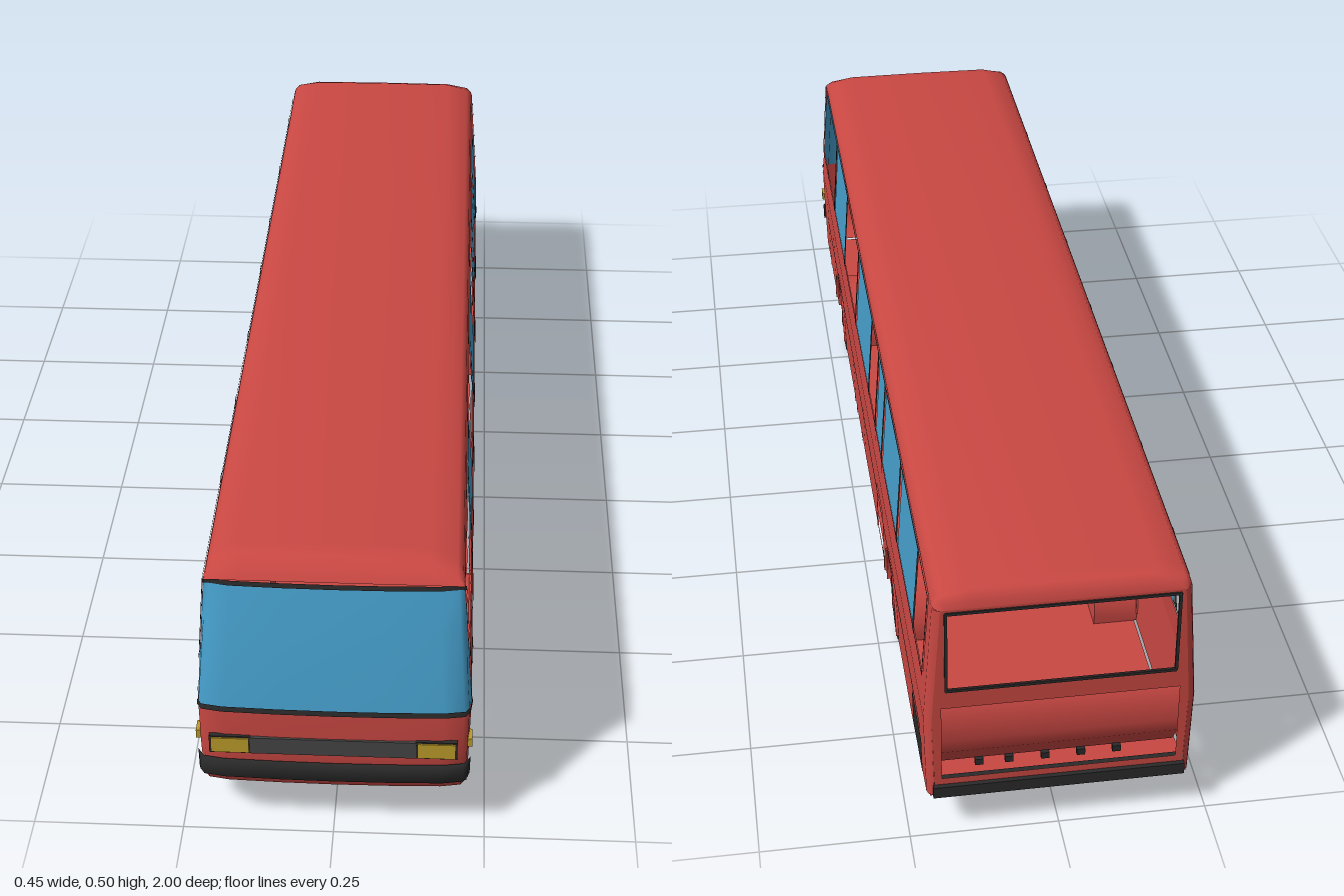
import * as THREE from 'three';

const make = (name, color) => {
  const m = new THREE.MeshStandardMaterial({ color, side: THREE.DoubleSide });
  m.name = name;
  return m;
};

export function createModel() {
  const bus = new THREE.Group();
  bus.name = 'bus';
  const red = make('redPaint', 0xca4843);
  const glass = make('blueGlass', 0x469fcc);
  const black = make('blackRubber', 0x2a2a2a);
  const grey = make('greyGrille', 0x454545);
  const yellow = make('yellowLamp', 0xbd9c2a);

  const add = (name, geo, mat, parent = bus) => {
    const mesh = new THREE.Mesh(geo, mat);
    mesh.name = name;
    parent.add(mesh);
    return mesh;
  };
  const box = (name, w, h, d, x, y, z, mat) =>
    add(name, new THREE.BoxGeometry(w, h, d), mat).position.set(x, y, z);

  // Half width of the body at a height
  const halfWidth = y => y < 0.24
    ? 0.219 + (y - 0.06) / 0.18 * 0.004
    : 0.223 - (y - 0.24) / 0.225 * 0.016;

  // Skin through rows of [x, y, z] points
  const loft = (name, rows, mat) => {
    const n = rows[0].length, index = [];
    for (let i = 0; i < rows.length - 1; i++)
      for (let j = 0; j < n - 1; j++) {
        const a = i * n + j, b = a + n;
        index.push(a, a + 1, b, b, a + 1, b + 1);
      }
    const geo = new THREE.BufferGeometry();
    geo.setAttribute('position', new THREE.Float32BufferAttribute(rows.flat(2), 3));
    geo.setIndex(index);
    geo.computeVertexNormals();
    return add(name, geo, mat);
  };

  // Flat shape drawn in (z, y) and laid on the side of the body
  const sidePanel = (name, shape, side, mat, offset = 0) => {
    const geo = new THREE.ShapeGeometry(shape, 16);
    const p = geo.attributes.position;
    for (let i = 0; i < p.count; i++) {
      const z = p.getX(i), y = p.getY(i);
      p.setXYZ(i, side * (halfWidth(y) + offset), y, z);
    }
    geo.computeVertexNormals();
    return add(name, geo, mat);
  };
  const rect = (a0, a1, b0, b1, Type = THREE.Shape) => new Type(
    [[a0, b0], [a1, b0], [a1, b1], [a0, b1]].map(([a, b]) => new THREE.Vector2(a, b)));
  const hole = (a0, a1, b0, b1) => rect(a0, a1, b0, b1, THREE.Path);

  // Side walls
  const wheelZ = [0.535, -0.48], axleY = 0.08, archR = 0.095, dip = 0.212;
  for (const s of [1, -1]) {
    const lower = new THREE.Shape();
    lower.moveTo(-0.98, 0.08);
    lower.lineTo(-0.75, 0.06);
    for (const z of [...wheelZ].reverse()) lower.absarc(z, axleY, archR, Math.PI + dip, -dip, true);
    lower.lineTo(0.93, 0.06);
    lower.lineTo(0.93, 0.24);
    lower.lineTo(-0.98, 0.24);
    if (s > 0) lower.holes.push(hole(-0.34, -0.24, 0.072, 0.18));
    sidePanel('lowerSide', lower, s, red);

    const upper = rect(-0.98, 0.935, 0.24, 0.465);
    upper.holes.push(hole(-0.945, 0.922, 0.305, 0.46));
    sidePanel('windowSurround', upper, s, red);

    // Panes (some bays stay open), pillars and rims
    const panes = s > 0
      ? [[0.39, 0.63], [-0.11, 0.14], [-0.34, -0.24], [-0.58, -0.35], [-0.83, -0.6]]
      : [[0.39, 0.63], [-0.11, 0.14], [-0.32, -0.12], [-0.58, -0.33], [-0.83, -0.59]];
    for (const [a, b] of panes) sidePanel('sideWindow', rect(a, b, 0.303, 0.462), s, glass, 0.001);
    const pillars = s > 0
      ? [0.79, 0.63, 0.385, 0.145, -0.115, -0.235, -0.345, -0.59, -0.835]
      : [0.63, 0.385, 0.145, -0.115, -0.325, -0.585, -0.835];
    for (const z of pillars) {
      const w = z === 0.79 ? 0.003 : 0.009;
      sidePanel('windowPillar', rect(z - w, z + w, 0.303, 0.462), s, black, 0.003);
    }
    for (const [z0, z1, y0, y1] of [[-0.95, 0.93, 0.301, 0.306], [-0.95, 0.93, 0.458, 0.463],
      [-0.95, -0.943, 0.301, 0.463], [0.92, 0.932, 0.301, 0.463]])
      sidePanel('windowRim', rect(z0, z1, y0, y1), s, black, 0.002);

    // Waist trim, locker seams and handles
    sidePanel('waistTrim', rect(-0.95, 0.785, 0.186, 0.195), s, black, 0.003);
    for (const z of [0.43, 0.22, 0.005])
      sidePanel('lockerSeam', rect(z - 0.002, z + 0.002, 0.065, 0.186), s, black, 0.001);
    for (const z of [0.215, 0.17, 0.07])
      sidePanel('lockerHandle', rect(z - 0.01, z + 0.01, 0.07, 0.092), s, black, 0.002);
    if (s > 0) {
      sidePanel('engineVent', rect(-0.95, -0.82, 0.09, 0.165), s, black, 0.002);
      for (const z of [-0.345, -0.235])
        sidePanel('doorSeam', rect(z - 0.004, z + 0.004, 0.07, 0.303), s, black, 0.002);
      for (const z of [0.64, 0.79])
        sidePanel('frontDoorSeam', rect(z - 0.003, z + 0.003, 0.07, 0.235), s, black, 0.002);
    }
    box('sideLamp', 0.008, 0.016, 0.025, s * 0.222, 0.174, 0.955, yellow);

    // Rear corner
    loft('rearCorner', [0.08, 0.24, 0.465].map(y => {
      const h = halfWidth(y);
      return [[s * h, y, -0.98], [s * (h - 0.003), y, -0.988], [s * (h - 0.012), y, -0.992]];
    }), red);

    // Wheels with housings and lips
    for (const z of wheelZ) {
      const arc = Array.from({ length: 17 }, (_, i) => {
        const a = -dip + (Math.PI + 2 * dip) * i / 16;
        return [axleY + archR * Math.sin(a), z + archR * Math.cos(a)];
      });
      loft('wheelHousing', [0.22, 0.14].map(x => arc.map(([y, q]) => [s * x, y, q])), red);
      loft('housingWall', [arc.map(([y, q]) => [s * 0.14, y, q]),
        arc.map(([, q]) => [s * 0.14, 0.06, q])], red);
      const lip = add('archLip', new THREE.TorusGeometry(0.097, 0.004, 6, 20, Math.PI), red);
      lip.rotation.y = Math.PI / 2;
      lip.position.set(s * 0.221, axleY, z);

      const wheel = new THREE.Group();
      wheel.name = 'wheel';
      wheel.position.set(s * 0.187, 0.077, z);
      wheel.rotation.z = -s * Math.PI / 2;
      bus.add(wheel);
      const profile = [[0.044, -0.028], [0.069, -0.028], [0.075, -0.022], [0.077, 0],
        [0.075, 0.022], [0.069, 0.028], [0.044, 0.028], [0.044, 0.015]];
      add('tyre', new THREE.LatheGeometry(profile.map(p => new THREE.Vector2(...p)), 28), black, wheel);
      add('rim', new THREE.CylinderGeometry(0.045, 0.045, 0.044, 24), red, wheel);
      add('hub', new THREE.CylinderGeometry(0.012, 0.014, 0.014, 16), red, wheel).position.y = 0.026;
      for (let i = 0; i < 10; i++) {
        const a = i * Math.PI / 5;
        const slot = add('rimSlot', new THREE.CylinderGeometry(0.007, 0.007, 0.003, 10), black, wheel);
        slot.position.set(0.031 * Math.cos(a), 0.022, 0.031 * Math.sin(a));
      }
    }
  }

  // Floor
  loft('floor', [[-0.992, 0.08], [-0.75, 0.06], [0.93, 0.06]]
    .map(([z, y]) => [[-0.215, y, z], [0.215, y, z]]), red);

  // Roof with rounded ends
  const crown = [[0.207, 0], [0.204, 0.33], [0.195, 0.65], [0.15, 0.97], [0, 1]];
  const crownFull = [...crown, ...crown.slice(0, -1).reverse().map(([x, f]) => [-x, f])];
  const roofEnds = [[-0.992, 0, 0.95], [-0.989, 0.4, 0.97], [-0.98, 0.8, 1], [-0.96, 1, 1],
    [0.88, 1, 1], [0.905, 0.88, 1], [0.925, 0.55, 1], [0.937, 0, 1]];
  loft('roof', roofEnds.map(([z, k, w]) =>
    crownFull.map(([x, f]) => [x * w, 0.465 + 0.035 * f * k, z])), red);

  // Front, curved in plan: rows of [y, front z]
  const plan = [[1, 0.09], [1, 0.05], [0.985, 0.022], [0.95, 0.01], [0.8, 0.004], [0.4, 0.001], [0, 0]];
  const planFull = [...plan, ...plan.slice(0, -1).reverse().map(([f, d]) => [-f, d])];
  const front = (name, rows, mat, back = 0.93, out = 0) => loft(name, rows.map(([y, zf]) =>
    planFull.map(([f, d]) => [f * (halfWidth(y) + out), y, Math.max(back, zf - d) + out])), mat);
  front('nose', [[0.06, 0.94], [0.075, 0.968], [0.1, 0.984], [0.16, 0.99], [0.24, 0.988]], red);
  front('windscreen', [[0.24, 0.986], [0.31, 0.973], [0.39, 0.956], [0.46, 0.939]], glass);
  front('lowerScreenRim', [[0.238, 0.988], [0.247, 0.986]], black, 0.93, 0.002);
  front('upperScreenRim', [[0.455, 0.94], [0.463, 0.938]], black, 0.93, 0.002);
  front('frontBumper', [[0.105, 0.984], [0.11, 0.997], [0.135, 0.997], [0.141, 0.988]], black, 0.96, 0.003);
  box('grille', 0.27, 0.032, 0.009, 0, 0.174, 0.988, grey);
  for (const s of [1, -1]) {
    box('headlampFrame', 0.068, 0.034, 0.008, s * 0.168, 0.174, 0.987, black);
    box('headlamp', 0.062, 0.029, 0.009, s * 0.168, 0.174, 0.989, yellow);
  }

  // Rear frame with open window and recessed engine cover
  const rear = new THREE.Shape();
  [[-0.207, 0.08], [0.207, 0.08], [0.211, 0.24], [0.195, 0.465], [-0.195, 0.465], [-0.211, 0.24]]
    .forEach(([x, y], i) => i ? rear.lineTo(x, y) : rear.moveTo(x, y));
  rear.holes.push(hole(-0.185, 0.185, 0.305, 0.455), hole(-0.195, 0.195, 0.115, 0.265));
  add('rearFrame', new THREE.ShapeGeometry(rear), red).position.z = -0.992;
  loft('engineCover', [[0.265, -0.97], [0.25, -0.98], [0.225, -0.987], [0.19, -0.988],
    [0.16, -0.98], [0.135, -0.962], [0.115, -0.95]]
    .map(([y, z]) => [[-0.2, y, z], [0.2, y, z]]), red);
  for (const y of [0.302, 0.458]) box('rearWindowRim', 0.376, 0.005, 0.005, 0, y, -0.992, black);
  for (const s of [1, -1]) box('rearWindowRim', 0.005, 0.156, 0.005, s * 0.187, 0.38, -0.992, black);
  for (const x of [-0.1, -0.04, 0.02, 0.08, 0.13])
    box('rearMark', 0.014, 0.012, 0.008, x, 0.124, -0.968, black);
  box('rearBumper', 0.42, 0.022, 0.03, 0, 0.091, -0.985, black);

  return bus;
}
